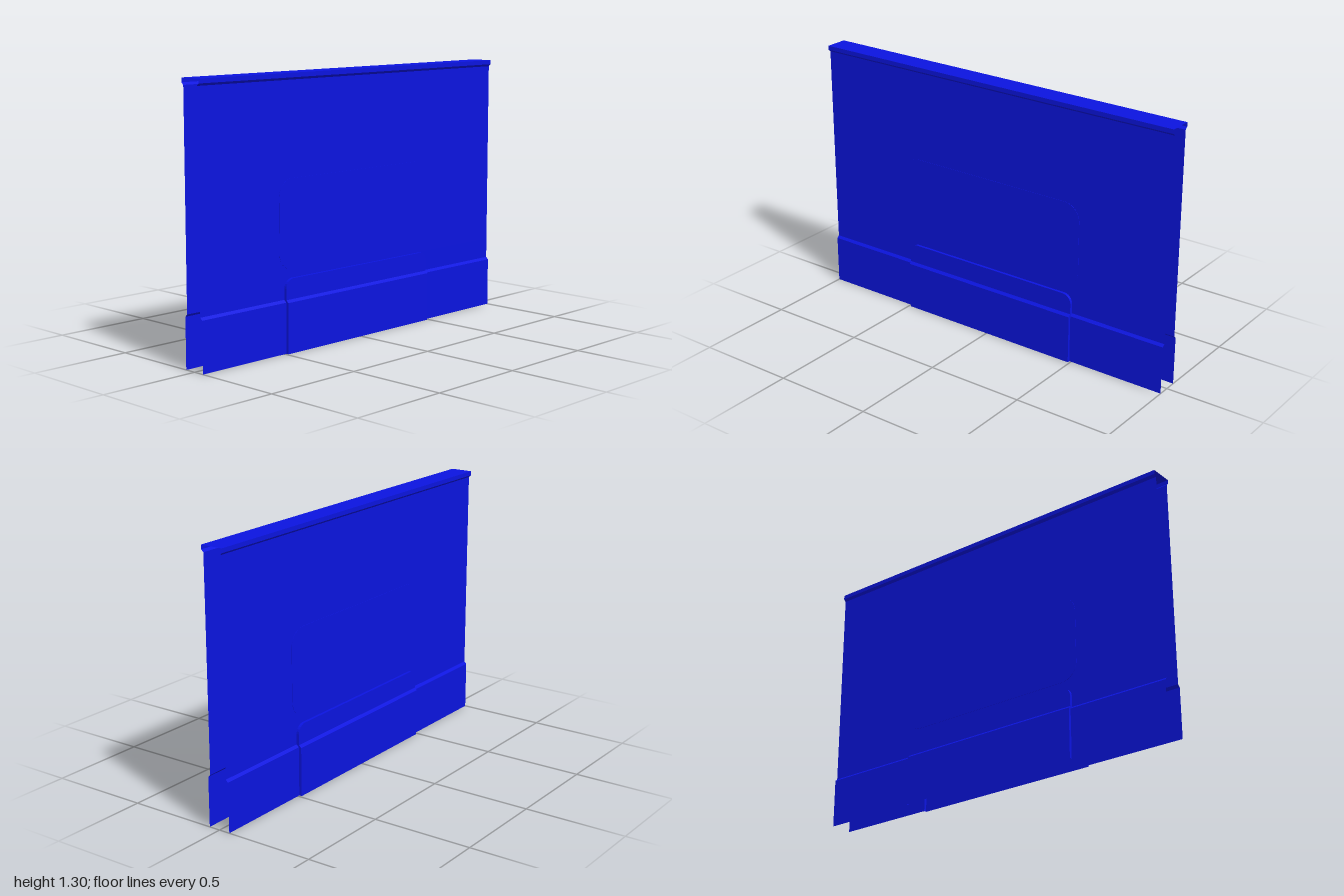
import * as THREE from 'three';

const material = new THREE.MeshStandardMaterial({ color: 0x0b14e0, side: THREE.DoubleSide, flatShading: true });

// Faceted sheet through rows of [x, y, z] points
function sheet(rows) {
  const pos = [];
  for (let i = 0; i < rows.length - 1; i++) {
    for (let j = 0; j < rows[i].length - 1; j++) {
      const a = rows[i][j], b = rows[i][j + 1], c = rows[i + 1][j + 1], d = rows[i + 1][j];
      pos.push(...a, ...b, ...c, ...a, ...c, ...d);
    }
  }
  const g = new THREE.BufferGeometry();
  g.setAttribute('position', new THREE.Float32BufferAttribute(pos, 3));
  g.computeVertexNormals();
  return g;
}

const BODY = 0.045, SKIRT = 0.057, RAISE = 0.014;

// One side: flared skirt, pressed-out tab with rounded top corners, flat wall, top lip
function sideGeometry() {
  const wide = 0.49, tabTop = 0.353, r = 0.045;
  const row = (x, y, w, raise) => [
    [x, y, 1], [x, y, w], [x + raise, y, w],
    [x + raise, y, -w], [x, y, -w], [x, y, -1],
  ];
  const rows = [
    row(SKIRT, 0, wide, RAISE),
    row(SKIRT, 0.243, wide, RAISE),
    row(BODY, 0.255, wide, RAISE),
  ];
  for (let i = 0; i <= 6; i++) {
    const a = (i / 6) * Math.PI / 2;
    rows.push(row(BODY, tabTop - r + r * Math.sin(a), wide - r + r * Math.cos(a), RAISE));
  }
  const w = wide - r;
  rows.push(row(BODY, tabTop, w, 0), row(BODY, 1.273, w, 0),
    row(SKIRT, 1.284, w, 0), row(SKIRT, 1.305, w, 0));
  return sheet(rows);
}

// Rounded block set through the middle, almost flush with both walls
function blockGeometry() {
  const w = 0.52, y0 = 0.39, y1 = 0.82, r = 0.085, half = BODY + 0.0015;
  const s = new THREE.Shape();
  s.moveTo(-w + r, y0);
  s.lineTo(w - r, y0);
  s.absarc(w - r, y0 + r, r, -Math.PI / 2, 0);
  s.absarc(w - r, y1 - r, r, 0, Math.PI / 2);
  s.absarc(-w + r, y1 - r, r, Math.PI / 2, Math.PI);
  s.absarc(-w + r, y0 + r, r, Math.PI, Math.PI * 1.5);
  const g = new THREE.ExtrudeGeometry(s, { depth: 2 * half, bevelEnabled: false, curveSegments: 10 });
  g.translate(0, 0, -half);
  g.rotateY(Math.PI / 2);
  return g;
}

export function createModel() {
  const group = new THREE.Group();
  const add = (name, geometry) => {
    const mesh = new THREE.Mesh(geometry, material);
    mesh.name = name;
    group.add(mesh);
    return mesh;
  };

  // Two matching walls, open at both ends and underneath
  const side = sideGeometry();
  add('leftWall', side);
  add('rightWall', side).rotation.y = Math.PI;

  // Flat top joining the walls
  add('topCap', sheet([
    [[-SKIRT, 1.305, -1], [-SKIRT, 1.305, 1]],
    [[SKIRT, 1.305, -1], [SKIRT, 1.305, 1]],
  ]));

  add('centreBlock', blockGeometry());
  return group;
}
